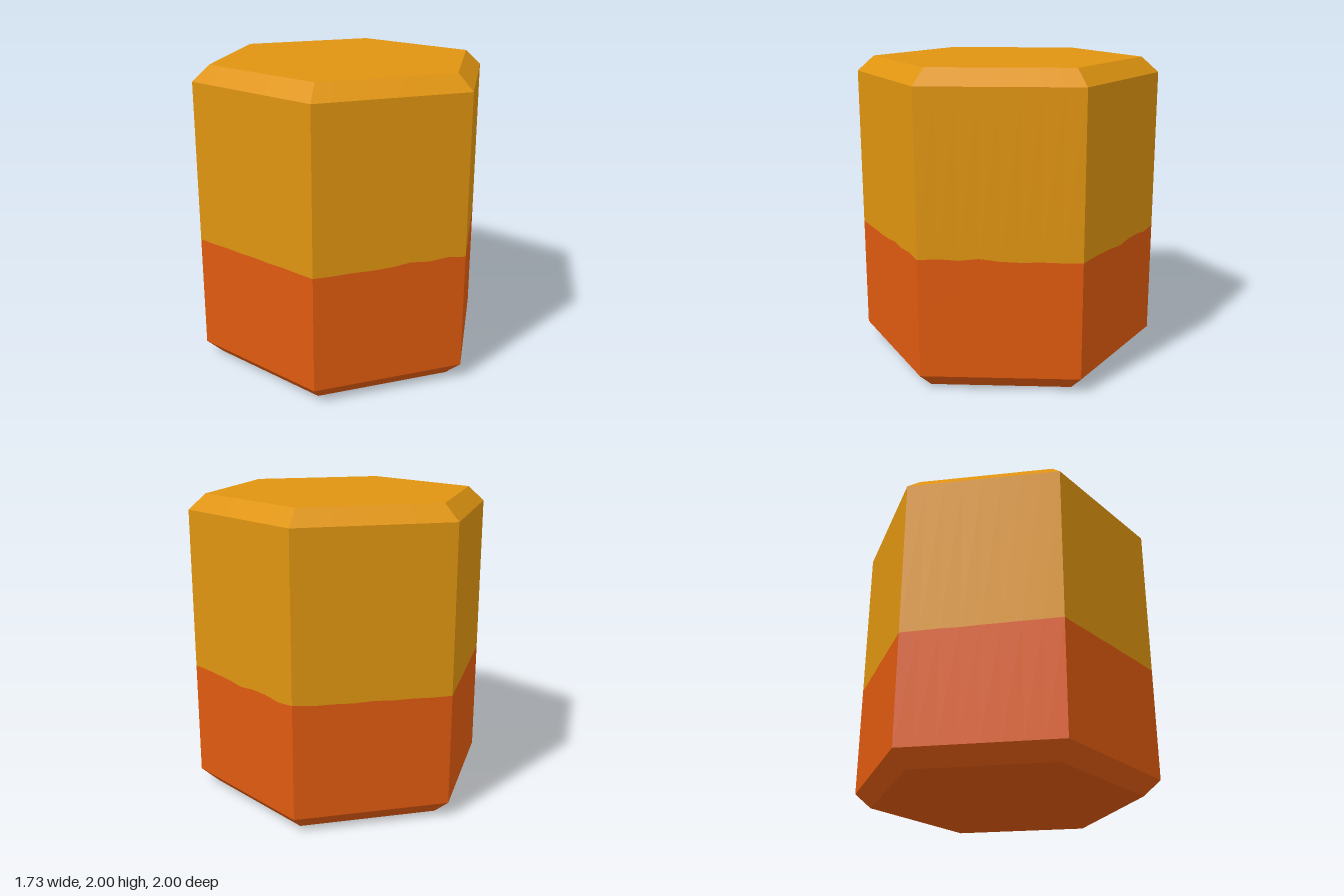
import * as THREE from 'three';

const SIDES = 6, STEPS = 8, COUNT = SIDES * STEPS;

// Height of the uneven colour line, eight points per side, from the front edge towards +x
const LINE = [
  0.86, 0.868, 0.86, 0.873, 0.858, 0.853, 0.857, 0.854,
  0.855, 0.857, 0.853, 0.848, 0.835, 0.849, 0.849, 0.835,
  0.849, 0.837, 0.838, 0.833, 0.838, 0.831, 0.832, 0.828,
  0.829, 0.832, 0.836, 0.835, 0.84, 0.842, 0.846, 0.848,
  0.852, 0.85, 0.854, 0.852, 0.856, 0.853, 0.857, 0.855,
  0.855, 0.854, 0.857, 0.854, 0.858, 0.873, 0.862, 0.873,
];

// Ring of points around a hexagon of the given corner radius
function ring(radius, height) {
  const corner = k => new THREE.Vector2(Math.sin(k * Math.PI / 3), Math.cos(k * Math.PI / 3)).multiplyScalar(radius);
  return Array.from({ length: COUNT }, (_, i) => {
    const k = Math.floor(i / STEPS);
    const p = corner(k).lerp(corner(k + 1), (i % STEPS) / STEPS);
    return new THREE.Vector3(p.x, height(i), p.y);
  });
}

// Flat-faced skin through rings listed from bottom to top
function skin(rings) {
  const points = [];
  for (let r = 0; r < rings.length - 1; r++) {
    const low = rings[r], high = rings[r + 1];
    for (let i = 0; i < COUNT; i++) {
      const j = (i + 1) % COUNT;
      points.push(low[i], low[j], high[j], low[i], high[j], high[i]);
    }
  }
  const geometry = new THREE.BufferGeometry().setFromPoints(points);
  geometry.computeVertexNormals();
  return geometry;
}

export function createModel() {
  const model = new THREE.Group();
  model.name = 'hexagonalBlock';
  const amber = new THREE.MeshStandardMaterial({ color: 0xdf9410 });
  amber.name = 'amber';
  const orange = new THREE.MeshStandardMaterial({ color: 0xdf5a0f });
  orange.name = 'burntOrange';

  const add = (name, geometry, material) => {
    const mesh = new THREE.Mesh(geometry, material);
    mesh.name = name;
    model.add(mesh);
    return mesh;
  };

  // Walls with bevelled rims, meeting along the uneven line
  const inner = 0.888, bevel = 0.1;
  const line = ring(1, i => LINE[i]);
  add('lowerWalls', skin([ring(inner, () => 0), ring(1, () => bevel), line]), orange);
  add('upperWalls', skin([line, ring(1, () => 2 - bevel), ring(inner, () => 2)]), amber);

  // Flat end faces
  const cap = () => new THREE.CircleGeometry(inner, SIDES, Math.PI / 2);
  add('topFace', cap().rotateX(-Math.PI / 2).translate(0, 2, 0), amber);
  add('bottomFace', cap().rotateX(Math.PI / 2), orange);
  return model;
}
